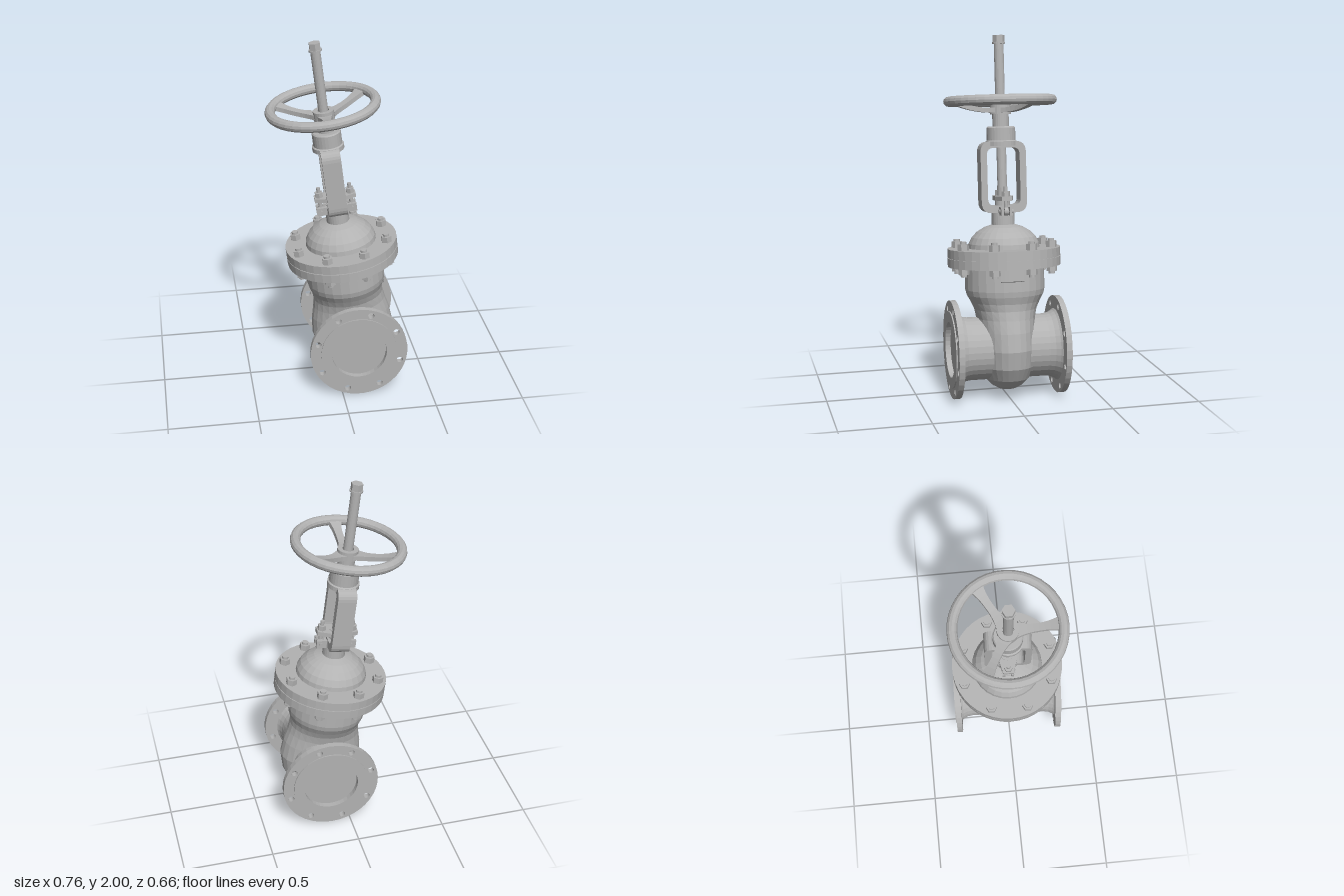
import * as THREE from 'three';

const metal = new THREE.MeshStandardMaterial({ color: 0xb2b2b2 });
metal.name = 'castMetal';

// Adds a faceted mesh with a name
function add(parent, name, geo, x = 0, y = 0, z = 0) {
  const g = geo.index ? geo.toNonIndexed() : geo;
  g.computeVertexNormals();
  const mesh = new THREE.Mesh(g, metal);
  mesh.name = name;
  mesh.position.set(x, y, z);
  parent.add(mesh);
  return mesh;
}

const lathe = (pts, segs = 32) =>
  new THREE.LatheGeometry(pts.map(([r, y]) => new THREE.Vector2(r, y)), segs);

// Upright cylinder between two heights
const cyl = (r, y0, y1, segs = 24) =>
  new THREE.CylinderGeometry(r, r, y1 - y0, segs).translate(0, (y0 + y1) / 2, 0);

function circle(r, x = 0, y = 0) {
  return new THREE.Path().absarc(x, y, r, 0, Math.PI * 2, false);
}

function roundedRect(shape, x0, y0, x1, y1, r) {
  shape.moveTo(x0 + r, y0);
  shape.lineTo(x1 - r, y0);
  shape.quadraticCurveTo(x1, y0, x1, y0 + r);
  shape.lineTo(x1, y1 - r);
  shape.quadraticCurveTo(x1, y1, x1 - r, y1);
  shape.lineTo(x0 + r, y1);
  shape.quadraticCurveTo(x0, y1, x0, y1 - r);
  shape.lineTo(x0, y0 + r);
  shape.quadraticCurveTo(x0, y0, x0 + r, y0);
  return shape;
}

// Flat ring with bolt holes, extruded along +z
function ringPlate(outer, inner, holes, holeR, holeAt, depth) {
  const s = new THREE.Shape().absarc(0, 0, outer, 0, Math.PI * 2, false);
  s.holes.push(circle(inner));
  for (let i = 0; i < holes; i++) {
    const a = (i + 0.5) * Math.PI * 2 / holes;
    s.holes.push(circle(holeR, Math.cos(a) * holeAt, Math.sin(a) * holeAt));
  }
  return new THREE.ExtrudeGeometry(s, { depth, bevelEnabled: false, curveSegments: 20 });
}

// Body whose round top narrows to an oval chamber: rows of [y, half width x, half width z]
function buildBody(g) {
  const rows = [
    [-0.237, 0.001, 0.001], [-0.23, 0.06, 0.05], [-0.21, 0.11, 0.085], [-0.17, 0.165, 0.122],
    [-0.10, 0.212, 0.15], [0, 0.235, 0.16], [0.10, 0.225, 0.16], [0.17, 0.208, 0.163],
    [0.22, 0.2, 0.174], [0.26, 0.203, 0.193], [0.30, 0.217, 0.215], [0.33, 0.222, 0.222],
    [0.47, 0.222, 0.222],
  ];
  const geo = lathe(rows.map(r => [r[1], r[0]]), 28);
  const p = geo.attributes.position;
  for (let i = 0; i < p.count; i++) {
    const r = rows[i % rows.length];
    p.setZ(i, p.getZ(i) * r[2] / r[1]);
  }
  add(g, 'body', geo);

  // Curved raised pads on both sides
  for (const a of [Math.PI / 2, -Math.PI / 2]) {
    const pts = [[0.22, 0.385], [0.231, 0.39], [0.231, 0.455], [0.22, 0.46]];
    add(g, 'bodyPad', new THREE.LatheGeometry(
      pts.map(q => new THREE.Vector2(...q)), 6, a - 0.29, 0.58));
  }
}

// Pipe branch with flange, facing +z
function buildBranch(name, turn) {
  const b = new THREE.Group();
  b.name = name;
  add(b, 'pipeNeck', lathe([[0.175, 0], [0.175, 0.215], [0.18, 0.245], [0.192, 0.27], [0.205, 0.285]], 32)
    .rotateX(Math.PI / 2));
  add(b, 'pipeFlange', ringPlate(0.274, 0.155, 8, 0.018, 0.24, 0.032), 0, 0, 0.281);
  add(b, 'raisedFace', ringPlate(0.214, 0.155, 0, 0, 0, 0.008), 0, 0, 0.312);
  add(b, 'boreDisc', new THREE.CircleGeometry(0.157, 32), 0, 0, 0.29);
  b.rotation.y = turn;
  return b;
}

function buildBonnet(g) {
  add(g, 'bodyFlange', cyl(0.315, 0.46, 0.508, 40));
  add(g, 'gasket', cyl(0.308, 0.506, 0.514, 40));
  add(g, 'bonnetFlange', cyl(0.315, 0.512, 0.56, 40));
  add(g, 'bonnetDome', lathe([[0.2, 0.555], [0.196, 0.585], [0.178, 0.62], [0.148, 0.65],
    [0.108, 0.674], [0.064, 0.688], [0.064, 0.78], [0, 0.78]], 28));
  // Flange studs with a nut at each end
  for (let i = 0; i < 8; i++) {
    const a = (i + 0.5) * Math.PI / 4, x = Math.cos(a) * 0.268, z = Math.sin(a) * 0.268;
    add(g, 'studNut', cyl(0.031, 0.56, 0.594, 6), x, 0, z);
    add(g, 'studNut', cyl(0.031, 0.426, 0.46, 6), x, 0, z);
    add(g, 'stud', cyl(0.018, 0.412, 0.607, 12), x, 0, z);
  }
}

function buildYoke(g) {
  // Rounded frame in the y-z plane
  const s = roundedRect(new THREE.Shape(), -0.128, 0.755, 0.128, 1.15, 0.06);
  s.holes.push(roundedRect(new THREE.Path(), -0.092, 0.795, 0.092, 1.115, 0.04));
  add(g, 'yoke', new THREE.ExtrudeGeometry(s, { depth: 0.104, bevelEnabled: false, curveSegments: 6 })
    .translate(0, 0, -0.052).rotateY(Math.PI / 2));
  add(g, 'yokeCollar', lathe([[0, 1.125], [0.088, 1.125], [0.088, 1.15], [0.08, 1.155],
    [0.08, 1.225], [0.074, 1.232], [0, 1.232]], 28));
  add(g, 'yokeSleeve', cyl(0.046, 1.23, 1.325));

  // Packing gland held down by two swing bolts
  add(g, 'glandSleeve', cyl(0.042, 0.775, 0.85, 20));
  const plate = new THREE.Shape();
  [[-0.115, -0.028], [-0.04, -0.05], [0.04, -0.05], [0.115, -0.028],
    [0.115, 0.028], [0.04, 0.05], [-0.04, 0.05], [-0.115, 0.028]]
    .forEach(([x, y], i) => (i ? plate.lineTo(x, y) : plate.moveTo(x, y)));
  add(g, 'glandPlate', new THREE.ExtrudeGeometry(plate, { depth: 0.024, bevelEnabled: false })
    .rotateX(-Math.PI / 2), 0, 0.823, 0);
  for (const side of [-1, 1]) {
    const x = side * 0.087;
    add(g, 'glandBolt', cyl(0.011, 0.75, 0.902, 12), x, 0, 0);
    add(g, 'glandNut', cyl(0.024, 0.847, 0.875, 6), x, 0, 0);
    add(g, 'boltEye', new THREE.CylinderGeometry(0.023, 0.023, 0.022, 16).rotateX(Math.PI / 2), x, 0.765, 0);
    add(g, 'hingePin', new THREE.CylinderGeometry(0.01, 0.01, 0.08, 12).rotateX(Math.PI / 2), x, 0.765, 0);
    for (const z of [-0.024, 0.024])
      add(g, 'boltLug', new THREE.BoxGeometry(0.07, 0.046, 0.016), side * 0.077, 0.765, z);
  }
}

function buildHandwheel() {
  const w = new THREE.Group();
  w.name = 'handwheel';
  add(w, 'rim', new THREE.TorusGeometry(0.287, 0.028, 12, 40).rotateX(Math.PI / 2), 0, 1.375, 0);
  add(w, 'hub', lathe([[0.032, 1.3], [0.058, 1.3], [0.058, 1.352], [0.032, 1.352], [0.032, 1.3]], 24));

  // Waisted spokes rising in a curve from hub to rim
  for (let i = 0; i < 3; i++) {
    const geo = new THREE.BoxGeometry(0.235, 0.026, 1, 8, 1, 1);
    const p = geo.attributes.position;
    for (let j = 0; j < p.count; j++) {
      const t = p.getX(j) / 0.235 + 0.5;
      const half = 0.021 + 0.02 * Math.pow(Math.abs(2 * t - 1), 2.5);
      p.setXYZ(j, 0.042 + t * 0.235, p.getY(j) + 1.322 + 0.052 * t * t, Math.sign(p.getZ(j)) * half);
    }
    add(w, 'spoke', geo).rotation.y = -Math.PI / 2 + 0.06 + i * Math.PI * 2 / 3;
  }
  return w;
}

export function createModel() {
  const model = new THREE.Group();
  model.name = 'gateValve';
  const valve = new THREE.Group();
  valve.name = 'valve';
  model.add(valve);

  buildBody(valve);
  valve.add(buildBranch('frontBranch', 0), buildBranch('backBranch', Math.PI));
  buildBonnet(valve);
  buildYoke(valve);
  valve.add(buildHandwheel());

  // Rising stem with its end nut
  add(valve, 'stem', cyl(0.027, 0.75, 1.71, 20));
  add(valve, 'stemWasher', cyl(0.036, 1.688, 1.697, 20));
  add(valve, 'stemNut', cyl(0.033, 1.695, 1.735, 6));

  // The whole valve leans to one side
  valve.rotation.set(0, -0.037, 0.122);
  valve.position.set(0.102, 0.275, 0);
  return model;
}
